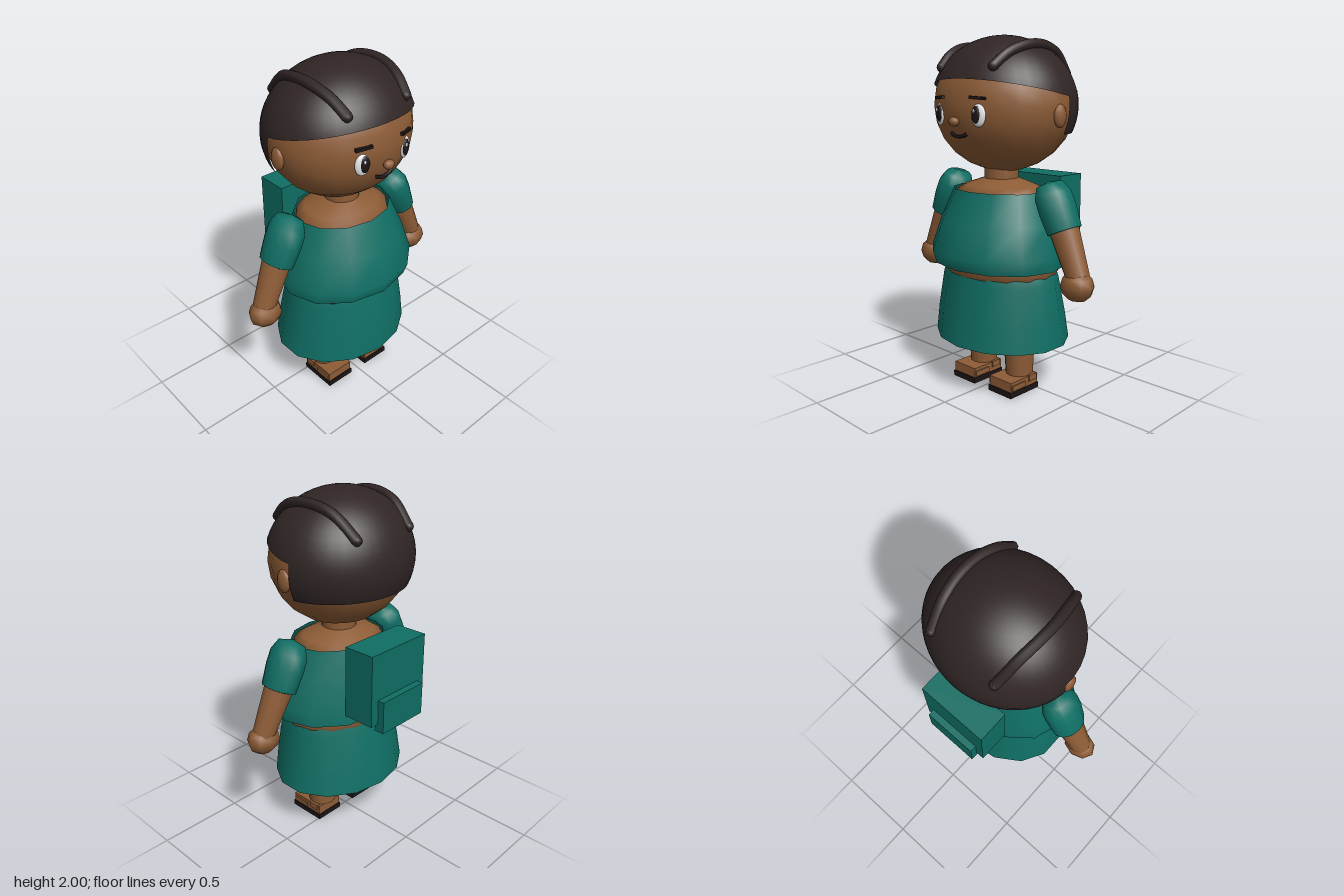
import * as THREE from 'three';

const mat = (name, color, side = THREE.FrontSide) => {
  const m = new THREE.MeshStandardMaterial({ color, side });
  m.name = name;
  return m;
};

export function createModel() {
  const skin = mat('brown skin', 0x8d5c36);
  const cloth = mat('teal cloth', 0x0f6e64, THREE.DoubleSide);
  const hair = mat('dark hair', 0x302525, THREE.DoubleSide);
  const white = mat('eye white', 0xe6e6e6);
  const black = mat('near black', 0x1c1516);

  const root = new THREE.Group();
  root.name = 'figure';
  const add = (name, geo, material, x = 0, y = 0, z = 0, parent = root) => {
    const m = new THREE.Mesh(geo, material);
    m.name = name;
    m.position.set(x, y, z);
    parent.add(m);
    return m;
  };
  const ball = (name, material, p, s, w = 16, h = 12) => {
    const m = add(name, new THREE.SphereGeometry(1, w, h), material, ...p);
    m.scale.set(...s);
    return m;
  };
  const box = (name, material, x0, x1, y0, y1, z0, z1) =>
    add(name, new THREE.BoxGeometry(x1 - x0, y1 - y0, z1 - z0), material,
      (x0 + x1) / 2, (y0 + y1) / 2, (z0 + z1) / 2);

  // Skin through elliptical rings [y, rx, rz, cz], listed from bottom to top
  const loft = (rings, n) => {
    const pos = [], idx = [];
    rings.forEach(([y, rx, rz, cz], r) => {
      for (let i = 0; i < n; i++) {
        const a = (i / n) * Math.PI * 2;
        pos.push(rx * Math.sin(a), y, cz + rz * Math.cos(a));
        if (r === 0) continue;
        const j = (i + 1) % n, lo = (r - 1) * n, hi = r * n;
        idx.push(lo + i, lo + j, hi + j, lo + i, hi + j, hi + i);
      }
    });
    const g = new THREE.BufferGeometry();
    g.setAttribute('position', new THREE.Float32BufferAttribute(pos, 3));
    g.setIndex(idx);
    g.computeVertexNormals();
    return g;
  };

  // Body and clothes
  add('body', loft([[0.6, 0.31, 0.25, 0.06], [0.67, 0.34, 0.27, 0.06], [0.72, 0.375, 0.305, 0.065],
    [0.8, 0.36, 0.29, 0.07], [1.0, 0.3, 0.24, 0.06], [1.145, 0.28, 0.225, 0.055],
    [1.175, 0.23, 0.18, 0.05], [1.215, 0.1, 0.1, 0.05]], 16), skin);
  add('neck', new THREE.CylinderGeometry(0.1, 0.1, 0.14, 12), skin, 0, 1.23, 0.05);
  add('shirt', loft([[0.735, 0.41, 0.335, 0.075], [0.81, 0.418, 0.345, 0.092],
    [0.98, 0.365, 0.3, 0.078], [1.155, 0.295, 0.24, 0.058]], 12), cloth);
  add('skirt', loft([[0.295, 0.42, 0.35, 0.05], [0.45, 0.4, 0.33, 0.055],
    [0.65, 0.37, 0.29, 0.06], [0.695, 0.355, 0.28, 0.06]], 14), cloth);

  // Backpack
  box('backpack', cloth, -0.217, 0.217, 0.8, 1.215, -0.4, -0.21);
  box('backpackPocket', cloth, -0.165, 0.165, 0.755, 0.945, -0.44, -0.38);

  // Head
  ball('head', skin, [0, 1.62, 0.03], [0.42, 0.37, 0.37], 20, 12);
  ball('nose', skin, [0, 1.54, 0.405], [0.033, 0.026, 0.026], 10, 8);
  const smile = new THREE.CatmullRomCurve3([[-0.06, 1.476, 0.366], [-0.03, 1.464, 0.372], [0, 1.46, 0.374],
    [0.03, 1.464, 0.372], [0.06, 1.476, 0.366]].map(p => new THREE.Vector3(...p)));
  add('mouth', new THREE.TubeGeometry(smile, 12, 0.01, 6), black);

  // Hair: cap with a sloping front edge, and a longer back half
  const scalp = new THREE.Group();
  scalp.name = 'hair';
  scalp.position.set(0, 1.62, 0.03);
  scalp.scale.set(0.435, 0.38, 0.385);
  root.add(scalp);
  const cap = new THREE.SphereGeometry(1, 36, 12, 0, Math.PI * 2, 0, Math.PI / 2);
  const p = cap.attributes.position, v = new THREE.Vector3();
  for (let i = 0; i < p.count; i++) {
    v.fromBufferAttribute(p, i);
    const phi = Math.atan2(v.x, v.z);
    const edge = 1.67 + 0.22 * Math.max(0, 0.05 + 0.366 * Math.cos(phi));
    const t = Math.acos(Math.min(1, v.y)) / (Math.PI / 2) * Math.acos((edge - 1.62) / 0.38);
    p.setXYZ(i, Math.sin(t) * Math.sin(phi), Math.cos(t), Math.sin(t) * Math.cos(phi));
    cap.attributes.normal.setXYZ(i, p.getX(i), p.getY(i), p.getZ(i));
  }
  add('hairCap', cap, hair, 0, 0, 0, scalp);
  add('hairBack', new THREE.SphereGeometry(1, 24, 6, Math.PI + 0.13, Math.PI - 0.26, 1.36, 0.615),
    hair, 0, 0, 0, scalp);

  for (const s of [-1, 1]) {
    const side = s > 0 ? 'left' : 'right';

    // Braid lying along the scalp from front to back
    const path = [[0.2, 0.31], [0.225, 0.22], [0.245, 0.1], [0.245, -0.02], [0.23, -0.14], [0.2, -0.27]]
      .map(([x, z]) => new THREE.Vector3(s * x,
        1.63 + 0.38 * Math.sqrt(1 - (x / 0.435) ** 2 - ((z - 0.03) / 0.385) ** 2), z));
    add(side + 'Braid', new THREE.TubeGeometry(new THREE.CatmullRomCurve3(path), 20, 0.028, 8), hair);
    ball(side + 'BraidTip', hair, path[0].toArray(), [0.028, 0.028, 0.028], 8, 6);
    ball(side + 'BraidEnd', hair, path[5].toArray(), [0.028, 0.028, 0.028], 8, 6);

    // Ear, eye and brow
    ball(side + 'Ear', skin, [s * 0.415, 1.57, 0.035], [0.025, 0.063, 0.045], 10, 10);
    ball(side + 'EyeWhite', white, [s * 0.15, 1.575, 0.368], [0.042, 0.06, 0.018]).rotation.y = s * 0.3;
    ball(side + 'Pupil', black, [s * 0.145, 1.578, 0.378], [0.029, 0.047, 0.014]).rotation.y = s * 0.3;
    ball(side + 'EyeGlint', white, [s * 0.145 - 0.008, 1.598, 0.391], [0.008, 0.01, 0.004], 8, 6);
    const brow = box(side + 'Brow', black, s * 0.145 - 0.046, s * 0.145 + 0.046, 1.656, 1.672, 0.355, 0.383);
    brow.rotation.set(0, s * 0.3, -s * 0.07);

    // Arm, built upright from the sleeve opening and then tilted
    const arm = new THREE.Group();
    arm.name = side + 'Arm';
    arm.position.set(s * 0.47, 0.968, 0.05);
    arm.rotation.z = s * 0.43;
    root.add(arm);
    const sleeve = [[0.08, 0], [0.09, 0.005], [0.098, 0.12], [0.096, 0.2], [0.07, 0.262], [0, 0.282]]
      .map(q => new THREE.Vector2(...q));
    add(side + 'Sleeve', new THREE.LatheGeometry(sleeve, 12), cloth, 0, 0, 0, arm).scale.z = 1.17;
    add(side + 'Forearm', new THREE.CylinderGeometry(0.083, 0.062, 0.3, 12), skin, 0, -0.13, 0.008, arm)
      .rotation.x = -0.05;
    ball(side + 'Hand', skin, [s * 0.575, 0.695, 0.07], [0.1, 0.085, 0.08], 8, 6);

    // Leg and sandal
    const x = s * 0.148;
    const leg = add(side + 'Leg', new THREE.CylinderGeometry(0.1, 0.08, 0.5, 14), skin, x, 0.34, 0.062);
    leg.rotation.x = 0.03;
    box(side + 'Foot', skin, x - 0.085, x + 0.085, 0.03, 0.088, -0.005, 0.212);
    box(side + 'ToeStrap', skin, x - 0.093, x + 0.093, 0.04, 0.07, 0.1, 0.205);
    box(side + 'AnkleStrap', skin, x - 0.093, x + 0.093, 0.058, 0.094, 0.01, 0.07);
    box(side + 'Sole', black, x - 0.09, x + 0.09, 0, 0.032, -0.01, 0.22);
  }
  return root;
}
